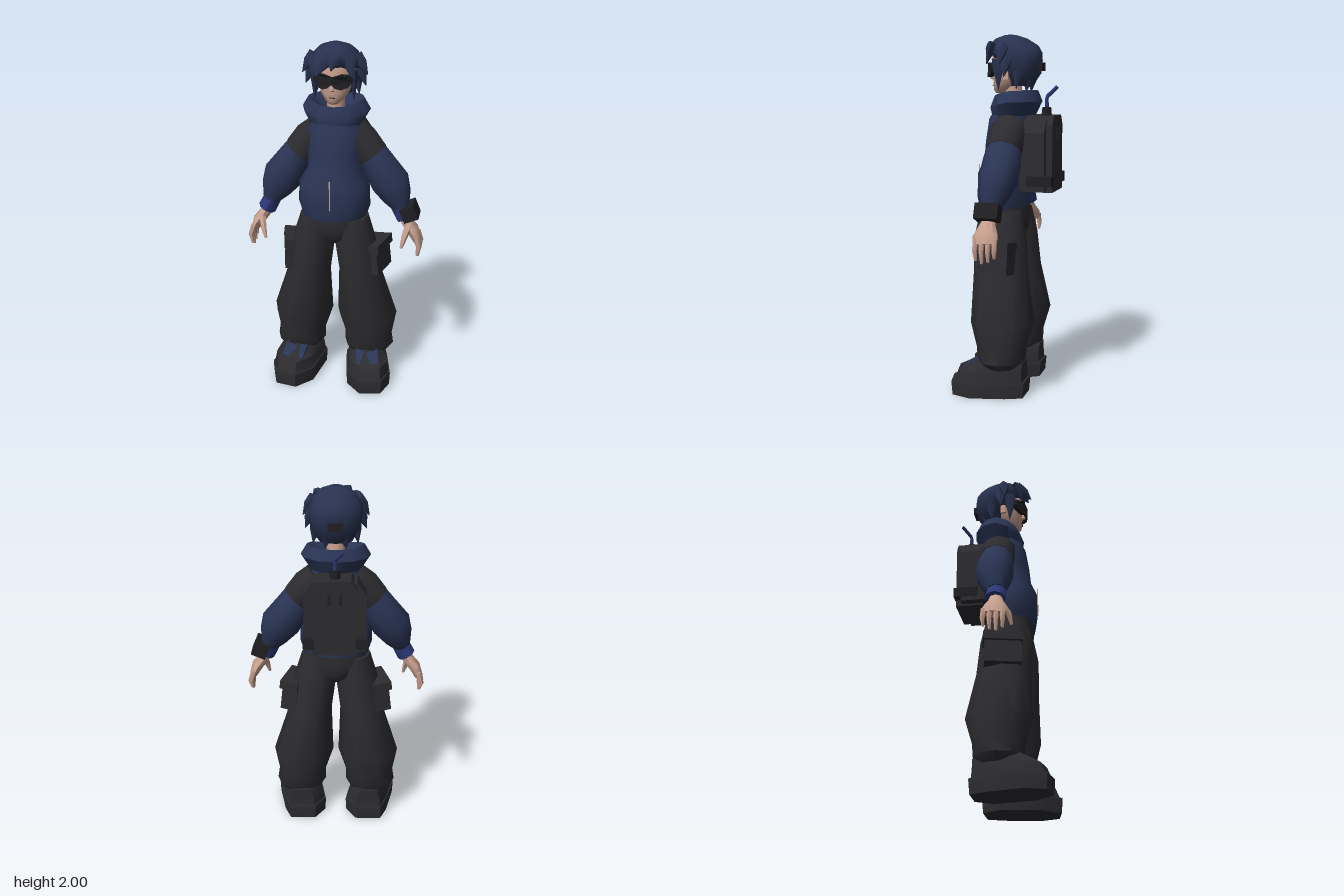
import * as THREE from 'three';
import { toCreasedNormals } from 'three/addons/utils/BufferGeometryUtils.js';

const mat = (name, color) => {
  const m = new THREE.MeshStandardMaterial({ color });
  m.name = name;
  return m;
};

// Skin through cross-sections [x, y, z, halfWidth, halfDepth] set along a path.
function loft(secs, { n = 12, ref = [0, 0, 1], dir = null, outline = null, caps = true, crease = 0.8 } = {}) {
  const ring = outline || Array.from({ length: n }, (_, i) => {
    const t = (i / n) * Math.PI * 2;
    return [Math.cos(t), Math.sin(t)];
  });
  const count = ring.length, pos = [], idx = [];
  const c = secs.map(s => new THREE.Vector3(s[0], s[1], s[2]));
  const up = new THREE.Vector3(...ref);
  secs.forEach((s, i) => {
    const t = dir ? new THREE.Vector3(...dir)
      : c[Math.min(i + 1, c.length - 1)].clone().sub(c[Math.max(i - 1, 0)]).normalize();
    const a = up.clone().cross(t).normalize(), b = t.clone().cross(a);
    for (const [u, v] of ring) {
      const p = c[i].clone().addScaledVector(a, u * s[3]).addScaledVector(b, v * s[4]);
      pos.push(p.x, p.y, p.z);
    }
  });
  for (let i = 0; i < secs.length - 1; i++) for (let j = 0; j < count; j++) {
    const k = (j + 1) % count, p = i * count, q = p + count;
    idx.push(p + j, p + k, q + k, p + j, q + k, q + j);
  }
  if (caps) {
    const last = (secs.length - 1) * count, top = pos.length / 3;
    pos.push(...c[0].toArray(), ...c[c.length - 1].toArray());
    for (let j = 0; j < count; j++) {
      const k = (j + 1) % count;
      idx.push(top, k, j, top + 1, last + j, last + k);
    }
  }
  const g = new THREE.BufferGeometry();
  g.setAttribute('position', new THREE.Float32BufferAttribute(pos, 3));
  g.setIndex(idx);
  return toCreasedNormals(g, crease);
}

function box(w, h, d, p, r = [0, 0, 0]) {
  return new THREE.BoxGeometry(w, h, d).toNonIndexed()
    .applyMatrix4(new THREE.Matrix4().makeRotationFromEuler(new THREE.Euler(...r)).setPosition(...p));
}

// Mirrored copy across x = 0, with the corner order turned round.
function mirror(geo) {
  const g = geo.clone().scale(-1, 1, 1);
  for (const name of ['position', 'normal']) {
    const a = g.attributes[name];
    for (let i = 0; i < a.count; i += 3) {
      const v = [a.getX(i + 1), a.getY(i + 1), a.getZ(i + 1)];
      a.setXYZ(i + 1, a.getX(i + 2), a.getY(i + 2), a.getZ(i + 2));
      a.setXYZ(i + 2, ...v);
    }
  }
  return g;
}

function spike(base, tip, w, d) {
  const mid = base.map((v, i) => v * 0.5 + tip[i] * 0.5 + (i === 1 ? 0.01 : 0));
  return loft([[...base, w, d], [...mid, w * 0.75, d * 0.75], [...tip, 0.002, 0.002]], { n: 6 });
}

function chamfered(w, y0, y1, cut, z0, z1) {
  const s = new THREE.Shape([[-w, y0], [w, y0], [w, y1 - cut], [w - cut * 0.7, y1], [cut * 0.7 - w, y1], [-w, y1 - cut]]
    .map(p => new THREE.Vector2(...p)));
  return new THREE.ExtrudeGeometry(s, { depth: z1 - z0, bevelEnabled: false }).translate(0, 0, z0);
}

export function createModel() {
  const model = new THREE.Group();
  model.name = 'standingFigure';
  const navy = mat('navyJacket', 0x2a3555), hairMat = mat('navyHair', 0x28324f);
  const charcoal = mat('charcoalCloth', 0x2c2c30), black = mat('blackPlastic', 0x1f1f22);
  const blue = mat('brightBlue', 0x2c3878), skin = mat('skin', 0xc8a08f);

  const add = (name, geo, m) => {
    const mesh = new THREE.Mesh(geo, m);
    mesh.name = name;
    model.add(mesh);
  };
  const pair = (name, geo, m) => {
    add(name + 'Left', geo, m);
    add(name + 'Right', mirror(geo), m);
  };

  // Jacket body, zip and raised collar
  add('jacketBody', loft([[0, 1.6, -0.03, 0.12, 0.1], [0, 1.52, -0.01, 0.16, 0.125], [0, 1.4, 0.005, 0.16, 0.13],
    [0, 1.3, 0.01, 0.155, 0.135], [0, 1.22, 0.03, 0.2, 0.15], [0, 1.1, 0.03, 0.205, 0.15], [0, 1.04, 0.025, 0.185, 0.145]]), navy);
  add('zip', box(0.006, 0.17, 0.006, [0, 1.19, 0.181]), skin);
  const collar = loft([[0, 1.6, -0.03, 0.06, 0.055], [0, 1.68, -0.035, 0.12, 0.09], [0, 1.695, -0.04, 0.155, 0.12],
    [0, 1.635, -0.04, 0.19, 0.145], [0, 1.56, -0.03, 0.145, 0.12]], { dir: [0, -1, 0], caps: false });
  const cp = collar.attributes.position;
  for (let i = 0; i < cp.count; i++) cp.setY(i, cp.getY(i) - 0.3 * Math.max(0, cp.getZ(i) + 0.02));
  add('collar', collar, navy);

  // Arms
  pair('upperSleeve', loft([[0.09, 1.51, -0.03, 0.085, 0.1], [0.14, 1.455, -0.03, 0.1, 0.105],
    [0.205, 1.375, -0.025, 0.095, 0.098]], { n: 10 }), charcoal);
  pair('lowerSleeve', loft([[0.2, 1.385, -0.025, 0.09, 0.095], [0.245, 1.315, -0.025, 0.1, 0.105],
    [0.31, 1.22, -0.02, 0.112, 0.105], [0.345, 1.15, -0.01, 0.088, 0.085], [0.375, 1.085, 0, 0.05, 0.055]], { n: 10 }), navy);
  pair('cuff', loft([[0.363, 1.095, 0, 0.05, 0.055], [0.4, 1.025, 0, 0.052, 0.058]], { n: 8 }), blue);
  add('wristDevice', box(0.085, 0.085, 0.13, [0.425, 1.065, 0], [0, 0, 0.4]), black);

  // Hands
  pair('palm', loft([[0.385, 1.05, 0, 0.03, 0.035], [0.41, 1.0, 0.005, 0.032, 0.042], [0.45, 0.95, 0.005, 0.034, 0.066],
    [0.472, 0.9, 0, 0.024, 0.064]], { n: 8 }), skin);
  for (let i = 0; i < 4; i++) {
    const z = -0.05 + i * 0.034, drop = [0.03, 0.01, 0, 0.015][i];
    pair('finger' + (i + 1), loft([[0.468, 0.93, z, 0.017, 0.015], [0.487, 0.87, z * 1.05, 0.016, 0.014],
      [0.478, 0.8 + drop, z, 0.008, 0.008]], { n: 6 }), skin);
  }
  pair('thumb', loft([[0.425, 0.99, 0.03, 0.022, 0.022], [0.405, 0.93, 0.075, 0.017, 0.017],
    [0.39, 0.87, 0.088, 0.008, 0.008]], { n: 6 }), skin);

  // Trousers with cargo pockets
  add('hips', loft([[0, 1.08, 0.02, 0.17, 0.13], [0, 0.99, 0.02, 0.195, 0.14], [0, 0.92, 0.02, 0.15, 0.13],
    [0, 0.88, 0.02, 0.05, 0.1]]), charcoal);
  pair('trouserLeg', loft([[0.105, 1.03, 0.02, 0.09, 0.12], [0.12, 0.88, 0.02, 0.122, 0.15], [0.15, 0.68, 0.01, 0.125, 0.155],
    [0.19, 0.41, -0.013, 0.175, 0.18], [0.2, 0.27, -0.01, 0.14, 0.14], [0.205, 0.2, -0.01, 0.145, 0.135],
    [0.205, 0.16, -0.01, 0.11, 0.11]], { n: 10, dir: [0, -1, 0] }), charcoal);
  pair('cargoPocket', box(0.09, 0.16, 0.2, [0.243, 0.78, 0.015], [0, -0.25, 0.12]), charcoal);
  pair('pocketFlap', box(0.105, 0.05, 0.215, [0.243, 0.855, 0.015], [0, -0.25, 0.12]), charcoal);

  // Chunky shoes: one outline stacked at several sizes
  const outline = [[0.148, 0.08], [0.11, 0.193], [-0.015, 0.218], [-0.105, 0.12], [-0.135, -0.06],
    [-0.145, -0.12], [-0.085, -0.215], [0.065, -0.215], [0.105, -0.12]];
  const layer = (y, s, z = 0.06) => [0.205, y, z, s, s];
  const stack = { outline, dir: [0, -1, 0], crease: 0.6 };
  pair('sole', loft([layer(0.085, 0.99), layer(0.075, 1), layer(0, 0.97)], stack), charcoal);
  pair('shoeUpper', loft([layer(0.22, 0.5, -0.01), layer(0.19, 0.66, 0.0), layer(0.145, 0.87, 0.048), layer(0.08, 0.94)], stack), charcoal);
  pair('shoeTongue', box(0.125, 0.05, 0.12, [0.215, 0.165, 0.135], [0.5, 0.15, 0]), navy);

  // Head, neck and face
  add('neck', loft([[0, 1.75, -0.015, 0.048, 0.05], [0, 1.56, -0.03, 0.052, 0.052]], { n: 10 }), skin);
  add('head', loft([[0, 1.95, -0.02, 0.07, 0.09], [0, 1.88, 0, 0.1, 0.1], [0, 1.8, 0, 0.098, 0.1], [0, 1.74, 0.01, 0.08, 0.085],
    [0, 1.7, 0.035, 0.05, 0.058], [0, 1.68, 0.05, 0.025, 0.032]], { dir: [0, -1, 0], crease: 1.1 }), skin);
  add('nose', loft([[0, 1.8, 0.095, 0.008, 0.008], [0, 1.765, 0.105, 0.012, 0.012], [0, 1.755, 0.092, 0.008, 0.008]], { n: 6, dir: [0, -1, 0] }), skin);
  add('mouth', box(0.03, 0.004, 0.006, [0, 1.72, 0.095]), black);
  pair('ear', box(0.015, 0.05, 0.03, [0.1, 1.78, -0.005]), skin);

  // Wraparound glasses, bent around the face
  const half = [[0, 1.835], [0.05, 1.85], [0.1, 1.84], [0.105, 1.805], [0.085, 1.78], [0.05, 1.77], [0.02, 1.78], [0, 1.8]];
  const rim = [...half, ...half.slice(1, -1).reverse().map(([x, y]) => [-x, y])];
  const glasses = new THREE.ExtrudeGeometry(new THREE.Shape(rim.map(p => new THREE.Vector2(...p))), { depth: 0.03, bevelEnabled: false });
  const gp = glasses.attributes.position;
  for (let i = 0; i < gp.count; i++) gp.setZ(i, gp.getZ(i) + 0.098 - 5 * gp.getX(i) ** 2);
  glasses.computeVertexNormals();
  add('glasses', glasses, black);
  pair('glassesArm', box(0.012, 0.045, 0.1, [0.101, 1.82, 0.015]), black);
  add('headClip', box(0.08, 0.045, 0.05, [0, 1.825, -0.17]), black);

  // Hair cap and locks
  add('hairCap', loft([[0, 2.0, -0.005, 0.03, 0.03], [0, 1.98, -0.01, 0.085, 0.09], [0, 1.94, -0.02, 0.125, 0.145],
    [0, 1.9, -0.035, 0.143, 0.153], [0, 1.86, -0.06, 0.145, 0.128], [0, 1.79, -0.08, 0.13, 0.098], [0, 1.72, -0.07, 0.09, 0.06]],
  { dir: [0, -1, 0], crease: 1.1 }), hairMat);
  [[[-0.09, 1.94, 0.07], [-0.1, 1.83, 0.11], 0.045], [[-0.03, 1.95, 0.09], [-0.075, 1.85, 0.16], 0.055],
    [[0.02, 1.95, 0.1], [0, 1.875, 0.135], 0.045], [[0.08, 1.95, 0.07], [0.105, 1.84, 0.105], 0.045]]
    .forEach(([b, t, w], i) => add('fringeLock' + (i + 1), spike(b, t, w, 0.025), hairMat));
  [[[0.11, 1.93, 0], [0.178, 1.835, 0.015], 0.04], [[0.12, 1.87, -0.02], [0.165, 1.77, -0.01], 0.035],
    [[0.105, 1.87, 0.04], [0.108, 1.7, 0.035], 0.025], [[0.1, 1.84, -0.08], [0.12, 1.705, -0.07], 0.035],
    [[0.045, 1.79, -0.12], [0.055, 1.69, -0.11], 0.04]]
    .forEach(([b, t, w], i) => pair('sideLock' + (i + 1), spike(b, t, w, 0.035), hairMat));

  // Backpack with side buckles, cap and drinking tube
  add('packBody', chamfered(0.168, 1.15, 1.54, 0.07, -0.24, -0.1), charcoal);
  add('packFront', chamfered(0.122, 1.14, 1.56, 0.05, -0.275, -0.12), charcoal);
  pair('packBuckle', box(0.06, 0.055, 0.14, [0.142, 1.205, -0.21]), black);
  pair('packLoop', box(0.015, 0.06, 0.012, [0.03, 1.46, -0.278]), black);
  add('packCap', new THREE.CylinderGeometry(0.025, 0.03, 0.05, 8).translate(0, 1.58, -0.213), black);
  const tube = new THREE.CurvePath();
  const pts = [[0, 1.59, -0.215], [0, 1.66, -0.212], [-0.045, 1.715, -0.262]].map(p => new THREE.Vector3(...p));
  tube.add(new THREE.LineCurve3(pts[0], pts[1]));
  tube.add(new THREE.LineCurve3(pts[1], pts[2]));
  add('drinkingTube', new THREE.TubeGeometry(tube, 8, 0.011, 6), blue);

  return model;
}
